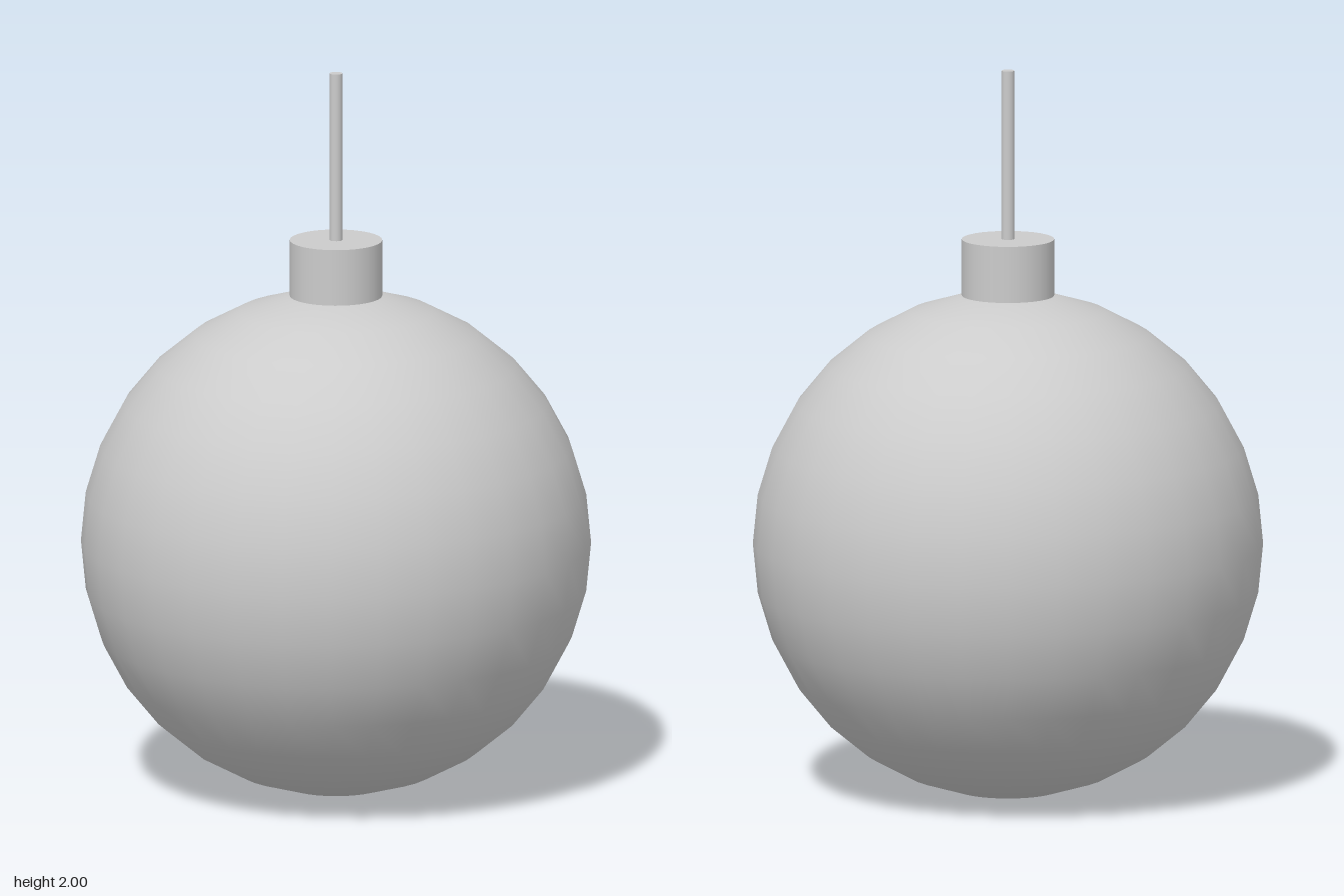
import * as THREE from 'three';

export function createModel() {
  const group = new THREE.Group();
  const material = new THREE.MeshStandardMaterial({ color: 0xcccccc });

  const add = (name, geometry, y) => {
    const mesh = new THREE.Mesh(geometry, material);
    mesh.name = name;
    mesh.position.y = y;
    group.add(mesh);
  };
  // Upright cylinder given by its bottom and top heights
  const addCylinder = (name, radius, bottom, top, sides) =>
    add(name, new THREE.CylinderGeometry(radius, radius, top - bottom, sides), (bottom + top) / 2);

  // Round globe standing on the ground
  const radius = 0.694;
  add('globe', new THREE.SphereGeometry(radius, 32, 16), radius);

  // Collar on top of the globe
  addCylinder('collar', 0.126, 1.38, 1.535, 32);

  // Thin hanging rod
  addCylinder('rod', 0.0175, 1.535, 2, 16);

  return group;
}
